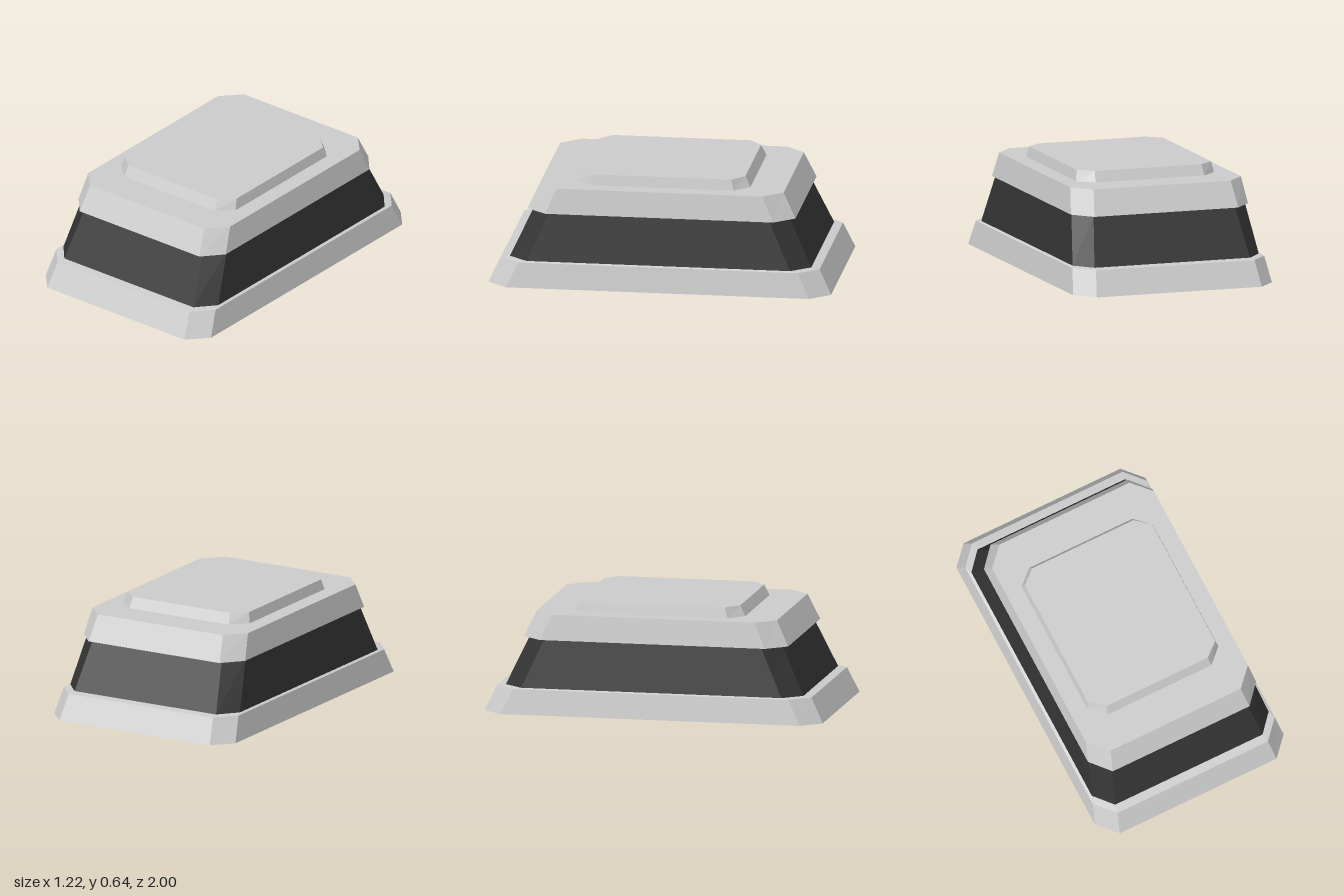
import * as THREE from 'three';

// Chamfered-rectangle cross-section: half width/depth (hx, hz), flat side half lengths (cx, cz)
function ring([y, hx, hz, cx, cz]) {
  return [
    [hx, cz], [cx, hz], [-cx, hz], [-hx, cz],
    [-hx, -cz], [-cx, -hz], [cx, -hz], [hx, -cz],
  ].map(([x, z]) => [x, y, z]);
}

// Skin a stack of cross-sections, optionally closing either end
function loft(name, sections, material, { bottom = false, top = false } = {}) {
  const rings = sections.map(ring);
  const n = rings[0].length;
  const pos = [];
  const tri = (a, b, c) => pos.push(...a, ...b, ...c);
  for (let k = 0; k < rings.length - 1; k++) {
    const lo = rings[k], hi = rings[k + 1];
    for (let i = 0; i < n; i++) {
      const j = (i + 1) % n;
      tri(lo[i], hi[i], lo[j]);
      tri(lo[j], hi[i], hi[j]);
    }
  }
  const first = rings[0], last = rings[rings.length - 1];
  for (let i = 1; i < n - 1; i++) {
    if (bottom) tri(first[0], first[i], first[i + 1]);
    if (top) tri(last[0], last[i + 1], last[i]);
  }
  const geometry = new THREE.BufferGeometry();
  geometry.setAttribute('position', new THREE.Float32BufferAttribute(pos, 3));
  geometry.computeVertexNormals();
  const mesh = new THREE.Mesh(geometry, material);
  mesh.name = name;
  return mesh;
}

export function createModel() {
  const grey = new THREE.MeshStandardMaterial({ color: 0xcccccc, flatShading: true });
  const dark = new THREE.MeshStandardMaterial({ color: 0x333333, flatShading: true });

  // Shared seams: [y, hx, hz, cx, cz]
  const bandFoot = [0.152, 0.573, 0.88, 0.478, 0.77];
  const bandHead = [0.437, 0.533, 0.745, 0.435, 0.64];
  const panelFoot = [0.58, 0.425, 0.505, 0.335, 0.42];

  const model = new THREE.Group();
  model.name = 'steppedPedestal';
  model.add(
    // Sloping plinth with a narrow ledge
    loft('base', [
      [0, 0.612, 1, 0.508, 0.885],
      [0.146, 0.59, 0.93, 0.488, 0.815],
      bandFoot,
    ], grey, { bottom: true }),
    // Recessed dark band
    loft('darkBand', [bandFoot, bandHead], dark),
    // Overhanging upper tier with a flat shoulder
    loft('upperTier', [
      bandHead,
      [0.432, 0.545, 0.782, 0.443, 0.665],
      [0.58, 0.525, 0.711, 0.422, 0.6],
      panelFoot,
    ], grey),
    // Raised top panel
    loft('topPanel', [
      panelFoot,
      [0.642, 0.413, 0.475, 0.328, 0.402],
    ], grey, { top: true }),
  );
  return model;
}
